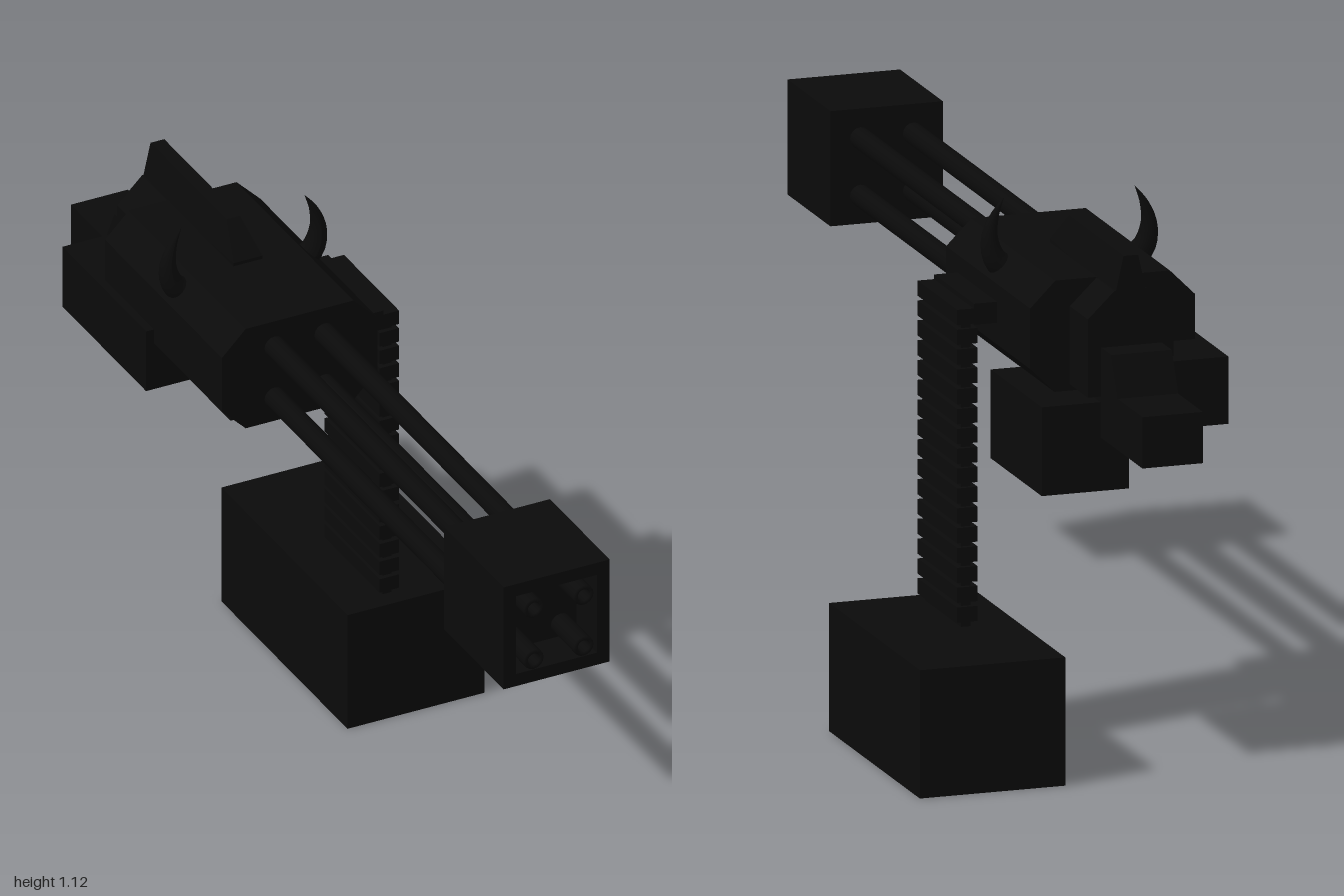
import * as THREE from 'three';

const CX = -0.122; // centre line of the gun
const CY = 0.9;
const black = new THREE.MeshStandardMaterial({ color: 0x0a0a0a });

function add(parent, name, geometry) {
  const mesh = new THREE.Mesh(geometry, black);
  mesh.name = name;
  parent.add(mesh);
  return mesh;
}

// Box given by its lower and upper limits on each axis
function box(parent, name, x0, x1, y0, y1, z0, z1) {
  const mesh = add(parent, name, new THREE.BoxGeometry(x1 - x0, y1 - y0, z1 - z0));
  mesh.position.set((x0 + x1) / 2, (y0 + y1) / 2, (z0 + z1) / 2);
  return mesh;
}

const outline = (pts) => new THREE.Shape(pts.map(([a, b]) => new THREE.Vector2(a, b)));

// Front-view outline extruded between two z positions
function prismZ(parent, name, shape, z0, z1) {
  const geo = new THREE.ExtrudeGeometry(shape, { depth: z1 - z0, bevelEnabled: false });
  return add(parent, name, geo.translate(0, 0, z0));
}

// Side-view outline of (z, y) points extruded between two x positions
function prismX(parent, name, pts, x0, x1) {
  const shape = outline(pts.map(([z, y]) => [-z, y]));
  const geo = new THREE.ExtrudeGeometry(shape, { depth: x1 - x0, bevelEnabled: false });
  return add(parent, name, geo.rotateY(Math.PI / 2).translate(x0, 0, 0));
}

// Tapered curved horn; side = 1 or -1 mirrors it about the centre line
function horn(parent, side) {
  const path = new THREE.CatmullRomCurve3(
    [[0.115, 0.965], [0.155, 0.995], [0.167, 1.04], [0.157, 1.085], [0.137, 1.122]]
      .map(([x, y]) => new THREE.Vector3(CX + side * x, y, -0.377)));
  const rings = 16, sides = 12;
  const geo = new THREE.TubeGeometry(path, rings, 0.028, sides);
  const pos = geo.attributes.position;
  const v = new THREE.Vector3();
  for (let i = 0; i < pos.count; i++) {
    const t = Math.floor(i / (sides + 1)) / rings;
    const centre = path.getPointAt(t);
    v.fromBufferAttribute(pos, i).sub(centre).multiplyScalar(1 - Math.pow(t, 1.5)).add(centre);
    pos.setXYZ(i, v.x, v.y, v.z);
  }
  geo.computeVertexNormals();
  add(parent, side > 0 ? 'leftHorn' : 'rightHorn', geo);
}

export function createModel() {
  const model = new THREE.Group();
  model.name = 'rotaryGun';

  // Chamfered receiver
  const w = 0.173, h = 0.115, c = 0.053;
  prismZ(model, 'receiver', outline([
    [w, h - c], [w - c, h], [c - w, h], [-w, h - c],
    [-w, c - h], [c - w, -h], [w - c, -h], [w, c - h],
  ].map(([x, y]) => [CX + x, CY + y])), -0.64, -0.13);

  // Rear housing and the top fin with its sloping front
  prismZ(model, 'rearHousing', outline([
    [-0.09, 0.8], [0.09, 0.8], [0.09, 0.96], [0.034, 1.014], [-0.034, 1.014], [-0.09, 0.96],
  ].map(([x, y]) => [CX + x, y])), -0.75, -0.6);
  const fin = prismX(model, 'topFin',
    [[-0.355, 1.0], [-0.355, 1.022], [-0.42, 1.084], [-0.75, 1.084], [-0.75, 1.0]], -0.034, 0.034);
  const fp = fin.geometry.attributes.position;
  for (let i = 0; i < fp.count; i++) {
    const taper = 1 - 0.55 * Math.max(0, (fp.getY(i) - 1.015) / 0.069);
    fp.setX(i, fp.getX(i) * taper);
  }
  fin.geometry.computeVertexNormals();
  fin.position.x = CX;

  // Rear grip, side pod and underslung housing
  prismX(model, 'rearGrip',
    [[-0.6, 0.715], [-0.6, 0.9], [-0.81, 0.9], [-0.85, 0.82], [-1, 0.82], [-1, 0.715]], -0.187, -0.06);
  prismZ(model, 'sidePod', outline([
    [-0.313, 0.732], [-0.207, 0.732], [-0.187, 0.752], [-0.187, 0.87], [-0.313, 0.87],
  ]), -0.79, -0.425);
  box(model, 'lowerHousing', -0.12, 0.063, 0.605, 0.787, -0.745, -0.435);

  for (const side of [-1, 1]) horn(model, side);

  // Four hollow barrels
  const barrelProfile = [[0.013, 0.9], [0.013, 1], [0.022, 1], [0.022, -0.16]]
    .map(([r, z]) => new THREE.Vector2(r, z));
  barrelProfile.unshift(new THREE.Vector2(0, 0.9));
  barrelProfile.reverse();
  for (const x of [-0.178, -0.067]) {
    for (const y of [0.84, 0.958]) {
      const barrel = add(model, 'barrel', new THREE.LatheGeometry(barrelProfile, 16));
      barrel.rotation.x = Math.PI / 2;
      barrel.position.set(x, y, 0);
    }
  }

  // Muzzle block with a recessed front
  const m = 0.118, r = 0.09;
  const frame = outline([[-m, -m], [m, -m], [m, m], [-m, m]]);
  frame.holes.push(outline([[-r, -r], [-r, r], [r, r], [r, -r]]));
  prismZ(model, 'muzzleFrame', frame, 0.73, 0.99).position.set(CX, CY, 0);
  box(model, 'muzzlePlate', CX - r, CX + r, CY - r, CY + r, 0.73, 0.9);

  // Ammunition box, feed chute and hanging belt
  box(model, 'ammoBox', 0.005, 0.31, 0, 0.263, -0.72, -0.17);
  box(model, 'feedChute', 0.03, 0.1, 0.883, 0.926, -0.44, -0.2);
  box(model, 'beltSpine', 0.103, 0.123, 0.25, 0.91, -0.43, -0.21);
  const pitch = 0.0407;
  for (let i = 0; i < 16; i++) {
    const y = 0.275 + i * pitch;
    box(model, 'beltLink', 0.092, 0.135, y, y + 0.031, -0.44, -0.2);
  }

  return model;
}
